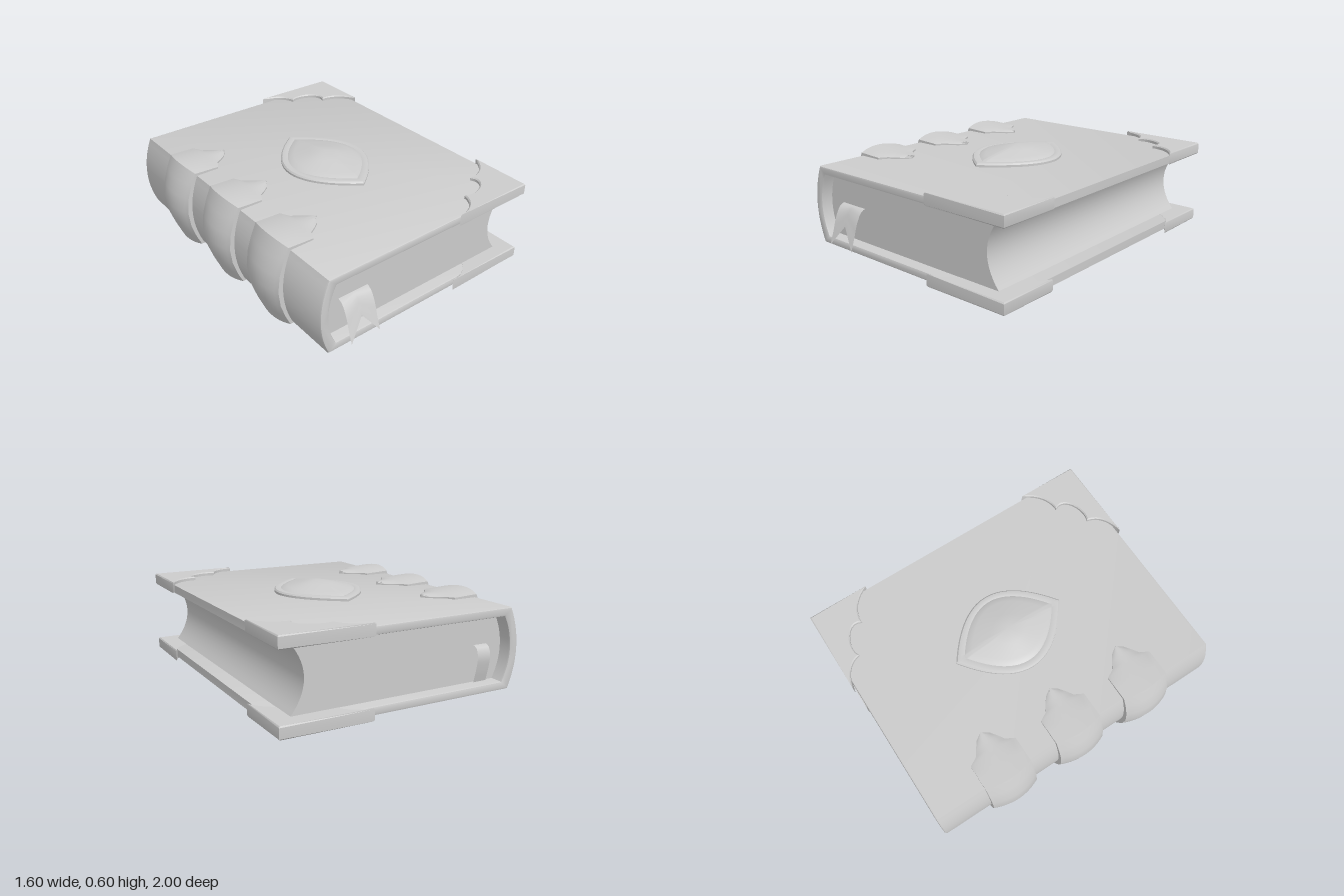
import * as THREE from 'three';
import { toCreasedNormals } from 'three/addons/utils/BufferGeometryUtils.js';

const MID_Y = 0.282;   // middle of the book's thickness
const MID_Z = -0.0165; // middle of the book's length
const mat = new THREE.MeshStandardMaterial({ color: 0xcccccc });
const thinMat = new THREE.MeshStandardMaterial({ color: 0xcccccc, side: THREE.DoubleSide });

function add(parent, name, geometry, material = mat) {
  const mesh = new THREE.Mesh(geometry, material);
  mesh.name = name;
  parent.add(mesh);
  return mesh;
}

// Surface through rows of points; row direction x column direction faces outward
function grid(rows) {
  const n = rows[0].length, index = [];
  for (let i = 0; i < rows.length - 1; i++) {
    for (let j = 0; j < n - 1; j++) {
      const a = i * n + j, b = a + n;
      index.push(a, b, a + 1, b, b + 1, a + 1);
    }
  }
  const geo = new THREE.BufferGeometry();
  geo.setAttribute('position', new THREE.Float32BufferAttribute(rows.flat(2), 3));
  geo.setIndex(index);
  return toCreasedNormals(geo, 0.6);
}

// Extrude a front-view shape between two z positions
function extrudeZ(shape, z0, z1, bevel) {
  const geo = new THREE.ExtrudeGeometry(shape, {
    depth: z1 - z0 - 2 * bevel, curveSegments: 14, bevelEnabled: bevel > 0,
    bevelSize: bevel, bevelThickness: bevel, bevelOffset: -bevel, bevelSegments: 2,
  });
  geo.translate(0, MID_Y, z0 + bevel);
  return toCreasedNormals(geo, 0.6);
}

// C-shaped cover: two boards joined by a rounded spine
function coverShape() {
  const s = new THREE.Shape();
  s.moveTo(0.785, 0.243);
  s.lineTo(-0.68, 0.243);
  s.quadraticCurveTo(-0.79, 0, -0.68, -0.243);
  s.lineTo(0.785, -0.243);
  s.lineTo(0.785, -0.193);
  s.lineTo(-0.63, -0.193);
  s.quadraticCurveTo(-0.73, 0, -0.63, 0.193);
  s.lineTo(0.785, 0.193);
  s.closePath();
  return s;
}

// Page block with rounded back and hollow fore edge
function pageShape() {
  const s = new THREE.Shape();
  s.moveTo(-0.63, 0.194);
  s.quadraticCurveTo(-0.73, 0, -0.63, -0.194);
  s.lineTo(0.69, -0.194);
  s.quadraticCurveTo(0.53, 0, 0.69, 0.194);
  s.closePath();
  return s;
}

// Scalloped corner plate, wrapping the full thickness of a board
function cornerPlate(side, y0) {
  const s = new THREE.Shape();
  const v = (d) => -side * d;
  s.moveTo(0.245, v(0.9825));
  s.quadraticCurveTo(0.4, v(0.955), 0.42, v(0.847));
  s.bezierCurveTo(0.5, v(0.89), 0.66, v(0.81), 0.6, v(0.727));
  s.quadraticCurveTo(0.73, v(0.73), 0.8, v(0.59));
  s.lineTo(0.8, v(0.9825));
  s.closePath();
  const b = 0.007;
  const geo = new THREE.ExtrudeGeometry(s, {
    depth: 0.074 - 2 * b, curveSegments: 10,
    bevelSize: b, bevelThickness: b, bevelOffset: -b, bevelSegments: 1,
  });
  geo.rotateX(-Math.PI / 2);
  geo.translate(0, y0 + b, MID_Z);
  return toCreasedNormals(geo, 0.5);
}

// Domed band that wraps the spine and ends in a point on each board
function spineBand() {
  // base x, base y, crest x, crest y, half width
  const half = [
    [-0.39, 0.235, -0.39, 0.264, 0],
    [-0.42, 0.235, -0.42, 0.264, 0.045],
    [-0.46, 0.235, -0.46, 0.265, 0.075],
    [-0.5, 0.235, -0.5, 0.267, 0.1],
    [-0.53, 0.235, -0.53, 0.269, 0.155],
    [-0.62, 0.235, -0.62, 0.276, 0.155],
    [-0.66, 0.235, -0.718, 0.282, 0.155],
    [-0.685, 0.19, -0.757, 0.19, 0.155],
    [-0.71, 0.1, -0.79, 0.1, 0.155],
  ];
  const lower = half.map(([bx, by, ox, oy, w]) => [bx, -by, ox, -oy, w]).reverse();
  const stations = [...half, [-0.72, 0, -0.804, 0, 0.155], ...lower];
  const steps = 12;
  return grid(stations.map(([bx, by, ox, oy, w]) => {
    const row = [[bx, by, -w]];
    for (let k = 0; k <= steps; k++) {
      const t = (k / steps) * 2 - 1;
      const f = 0.55 + 0.45 * (1 - t * t);
      row.push([bx + (ox - bx) * f, by + (oy - by) * f, t * w]);
    }
    row.push([bx, by, w]);
    return row;
  }));
}

// Almond-shaped jewel: rings of an outline, from rim to peak
function almond(profile) {
  const seg = 64;
  return grid(profile.map(([scale, y]) => {
    const row = [];
    for (let k = 0; k <= seg; k++) {
      const u = (k / seg) * Math.PI * 2, c = Math.cos(u);
      row.push([0.272 * scale * c * Math.abs(c), y, 0.38 * scale * Math.sin(u)]);
    }
    return row;
  }));
}

// Ribbon strip following (y, z) points, with an optional swallowtail end
function ribbon(x, width, path, notch) {
  const curve = new THREE.CatmullRomCurve3(path.map(([y, z]) => new THREE.Vector3(0, y, z)));
  const geo = new THREE.PlaneGeometry(width, 1, 2, 12);
  const pos = geo.attributes.position;
  for (let i = 0; i < pos.count; i++) {
    const px = pos.getX(i);
    const end = Math.abs(px) < 1e-6 ? notch : 1;
    const p = curve.getPointAt((0.5 - pos.getY(i)) * end);
    pos.setXYZ(i, x + px, p.y, p.z);
  }
  geo.computeVertexNormals();
  return geo;
}

export function createModel() {
  const book = new THREE.Group();
  book.name = 'book';

  add(book, 'cover', extrudeZ(coverShape(), -0.985, 0.955, 0.012));
  add(book, 'pages', extrudeZ(pageShape(), -0.9, 0.88, 0));

  // Plates on all four corners of the fore edge
  for (const side of [-1, 1]) {
    add(book, 'upperCornerPlate', cornerPlate(side, 0.474));
    add(book, 'lowerCornerPlate', cornerPlate(side, 0.016));
  }

  // Raised bands over the spine
  const band = spineBand();
  for (const z of [-0.505, -0.016, 0.471]) {
    add(book, 'spineBand', band).position.set(0, MID_Y, z);
  }

  // Jewel and its rim on the upper board
  const jewel = new THREE.Group();
  jewel.name = 'jewel';
  jewel.position.set(0.052, 0, -0.018);
  add(jewel, 'jewelRim', almond([[1, 0.515], [1, 0.538], [0.97, 0.547], [0.9, 0.55], [0.84, 0.546]]));
  add(jewel, 'jewelStone', almond([[0.86, 0.543], [0.8, 0.553], [0.7, 0.561], [0.35, 0.583], [0, 0.603]]));
  book.add(jewel);

  // Bookmark showing at both ends of the pages
  add(book, 'bookmarkTail', ribbon(-0.46, 0.2,
    [[0.305, 0.87], [0.295, 0.905], [0.23, 0.945], [0.15, 0.97], [0.065, 1]], 0.54), thinMat);
  add(book, 'bookmarkLoop', ribbon(-0.525, 0.09,
    [[0.31, -0.89], [0.3, -0.925], [0.25, -0.945], [0.17, -0.935], [0.09, -0.915]], 1), thinMat);

  return book;
}
